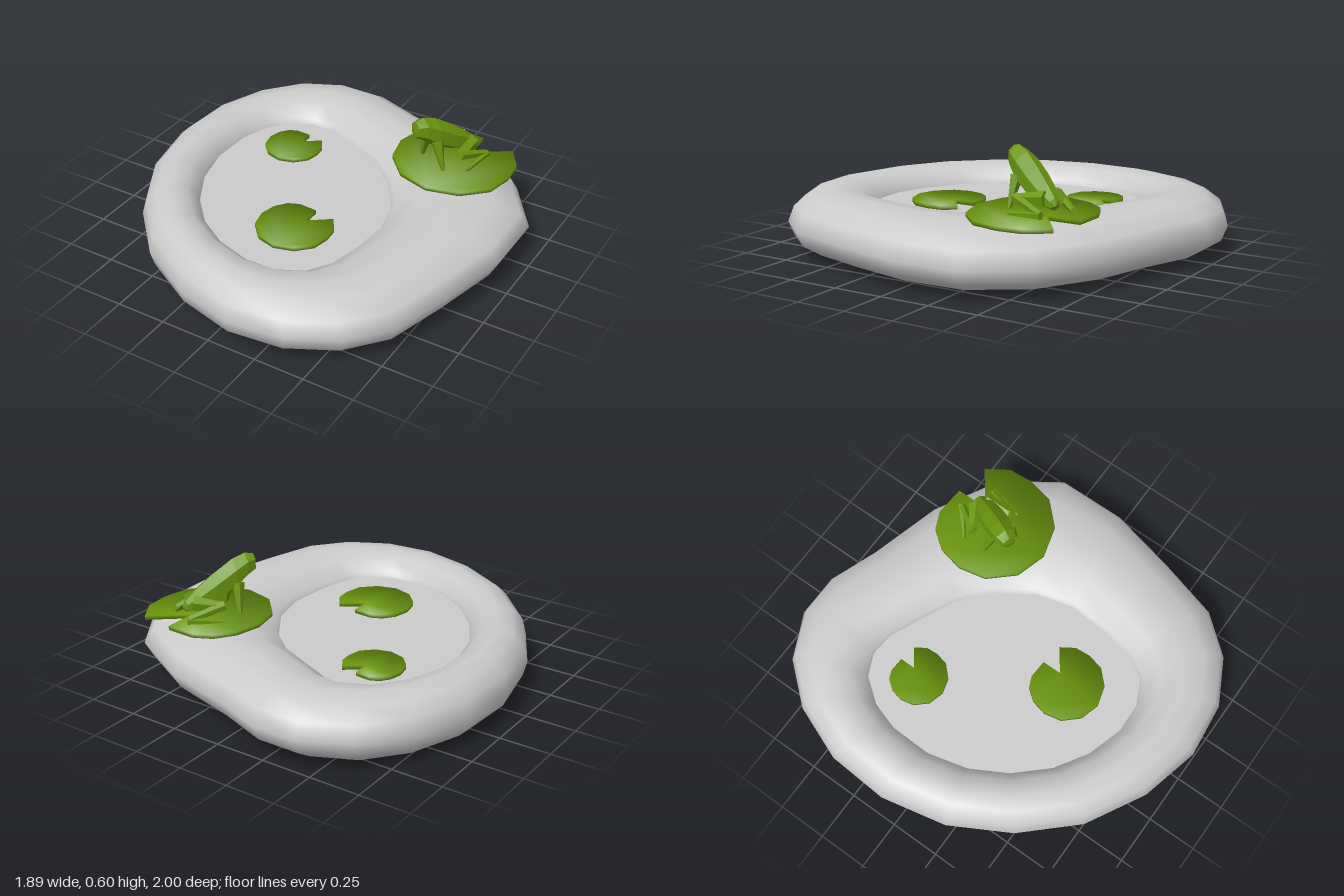
import * as THREE from 'three';
import { mergeVertices } from 'three/addons/utils/BufferGeometryUtils.js';

const stone = new THREE.MeshStandardMaterial({ color: 0xcccccc });
const water = new THREE.MeshStandardMaterial({ color: 0xcccccc, side: THREE.DoubleSide });
const green = new THREE.MeshStandardMaterial({ color: 0x6a960f });
const frogGreen = new THREE.MeshStandardMaterial({ color: 0x6a960f, flatShading: true });

// Pond rim outlines as [x, z] pairs, matched point for point
const OUTER = [[-0.42, -1], [-0.2, -1], [0.05, -0.91], [0.42, -0.81], [0.755, -0.63], [0.945, -0.35], [0.945, 0],
  [0.86, 0.35], [0.77, 0.66], [0.61, 0.85], [0.38, 0.97], [0.1, 1], [-0.2, 0.925], [-0.49, 0.765], [-0.72, 0.52],
  [-0.88, 0.23], [-0.95, -0.1], [-0.93, -0.41], [-0.82, -0.69], [-0.65, -0.89]];
const INNER = [[-0.4, -0.56], [-0.28, -0.55], [-0.1, -0.47], [0.05, -0.4], [0.2, -0.27], [0.32, -0.09], [0.37, 0.1],
  [0.355, 0.3], [0.32, 0.47], [0.25, 0.58], [0.13, 0.64], [-0.02, 0.645], [-0.2, 0.59], [-0.36, 0.49], [-0.5, 0.34],
  [-0.6, 0.16], [-0.65, -0.04], [-0.645, -0.25], [-0.6, -0.39], [-0.51, -0.51]];

// Lily pad outline with its notch, unit radius
const PAD = [[0.14, -0.9], [0.14, -0.36], [0.73, -0.8], [0.97, -0.43], [1, -0.03], [0.9, 0.43], [0.53, 0.8],
  [0, 0.95], [-0.53, 0.8], [-0.9, 0.4], [-1, -0.07], [-0.9, -0.5], [-0.67, -0.8], [-0.37, -0.93]];

function addMesh(parent, name, geometry, material) {
  const mesh = new THREE.Mesh(geometry, material);
  mesh.name = name;
  parent.add(mesh);
  return mesh;
}

// Skin over a row of closed cross-sections, optionally joined end to start
function skin(rings, closed) {
  const n = rings[0].length, index = [];
  const last = closed ? rings.length : rings.length - 1;
  for (let i = 0; i < last; i++) {
    for (let j = 0; j < n; j++) {
      const i2 = (i + 1) % rings.length, j2 = (j + 1) % n;
      const a = i * n + j, b = i2 * n + j, c = i * n + j2, d = i2 * n + j2;
      index.push(a, b, c, b, d, c);
    }
  }
  const g = new THREE.BufferGeometry();
  g.setAttribute('position', new THREE.Float32BufferAttribute(rings.flat(2), 3));
  g.setIndex(index);
  g.computeVertexNormals();
  return g;
}

function outline(points) {
  return new THREE.Shape(points.map(([x, z]) => new THREE.Vector2(x, -z)));
}

function rimGeometry() {
  const sides = 12;
  return skin(OUTER.map(([ox, oz], i) => {
    const ix = ox + (INNER[i][0] - ox) * 1.035, iz = oz + (INNER[i][1] - oz) * 1.035;
    return Array.from({ length: sides }, (_, j) => {
      const t = -j / sides * Math.PI * 2, k = (1 + Math.cos(t)) / 2;
      return [ix + (ox - ix) * k, 0.15 + 0.15 * Math.sin(t), iz + (oz - iz) * k];
    });
  }), true);
}

// Flat sheet across the pond, spread part of the way under the rim
function sheetGeometry(spread) {
  const edge = INNER.map(([x, z], i) => [x + (OUTER[i][0] - x) * spread, z + (OUTER[i][1] - z) * spread]);
  return new THREE.ShapeGeometry(outline(edge)).rotateX(-Math.PI / 2);
}

// Thin notched disc whose normals lean outwards for a soft, cushioned look
function padGeometry(radius, thickness) {
  const shape = outline(PAD.map(([x, z]) => [x * radius, z * radius]));
  const g = new THREE.ExtrudeGeometry(shape, { depth: thickness, bevelEnabled: false }).rotateX(-Math.PI / 2);
  g.deleteAttribute('normal');
  g.deleteAttribute('uv');
  const smooth = mergeVertices(g);
  smooth.computeVertexNormals();
  const p = smooth.attributes.position, n = smooth.attributes.normal, v = new THREE.Vector3();
  for (let i = 0; i < p.count; i++) {
    v.set(p.getX(i) / radius, p.getY(i) > thickness / 2 ? 0.8 : -0.8, p.getZ(i) / radius).normalize();
    n.setXYZ(i, v.x, v.y, v.z);
  }
  return smooth;
}

// Tapered limb segment between two points
function limb(parent, name, from, to, r1, r2) {
  const a = new THREE.Vector3(...from), b = new THREE.Vector3(...to);
  const dir = b.clone().sub(a);
  const mesh = addMesh(parent, name, new THREE.CylinderGeometry(r2, r1, dir.length(), 5), frogGreen);
  mesh.position.copy(a).add(b).multiplyScalar(0.5);
  mesh.quaternion.setFromUnitVectors(new THREE.Vector3(0, 1, 0), dir.normalize());
}

function buildFrog() {
  const frog = new THREE.Group();
  frog.name = 'frog';
  // Body sections from nose to rump: z, centre height, half width, half height
  const sections = [[0.215, 0.215, 0.002, 0.002], [0.21, 0.222, 0.036, 0.045], [0.165, 0.215, 0.056, 0.062],
    [0.1, 0.178, 0.068, 0.078], [0, 0.125, 0.066, 0.07], [-0.08, 0.085, 0.054, 0.052],
    [-0.14, 0.06, 0.028, 0.028], [-0.155, 0.055, 0.002, 0.002]];
  const body = skin(sections.map(([z, y, w, h]) => Array.from({ length: 6 }, (_, j) => {
    const t = (j + 0.5) / 6 * Math.PI * 2;
    return [w * Math.cos(t), y + h * Math.sin(t), z];
  })), false);
  addMesh(frog, 'body', body, frogGreen);
  // Mirrored legs
  for (const s of [1, -1]) {
    const side = s > 0 ? 'left' : 'right';
    limb(frog, side + 'FrontLeg', [s * 0.045, 0.15, 0.11], [s * 0.09, 0.005, 0.1], 0.032, 0.009);
    limb(frog, side + 'Thigh', [s * 0.03, 0.08, -0.11], [s * 0.105, 0.07, 0.01], 0.038, 0.02);
    limb(frog, side + 'Shin', [s * 0.108, 0.075, 0.015], [s * 0.085, 0.025, -0.16], 0.024, 0.016);
    limb(frog, side + 'HindFoot', [s * 0.085, 0.022, -0.165], [s * 0.15, 0.008, 0], 0.02, 0.009);
  }
  return frog;
}

export function createModel() {
  const model = new THREE.Group();
  model.name = 'frogPond';
  addMesh(model, 'pondRim', rimGeometry(), stone);

  // Water surface and pond floor tucked into the rim
  addMesh(model, 'waterSurface', sheetGeometry(0.06), water).position.y = 0.2;
  addMesh(model, 'pondFloor', sheetGeometry(0.16), water).position.y = 0.035;

  // Lily pads: name, radius, x, y, z, tilt
  const pads = [['smallLilyPad', 0.145, -0.37, 0.2, -0.3, 0], ['mediumLilyPad', 0.185, 0.02, 0.2, 0.315, 0],
    ['largeLilyPad', 0.3, 0.475, 0.31, -0.44, -0.025]];
  for (const [name, r, x, y, z, tilt] of pads) {
    const pad = addMesh(model, name, padGeometry(r, 0.02), green);
    pad.position.set(x, y, z);
    pad.rotation.z = tilt;
  }

  const frog = buildFrog();
  frog.position.set(0.45, 0.325, -0.46);
  frog.rotation.y = -0.5;
  model.add(frog);
  return model;
}
